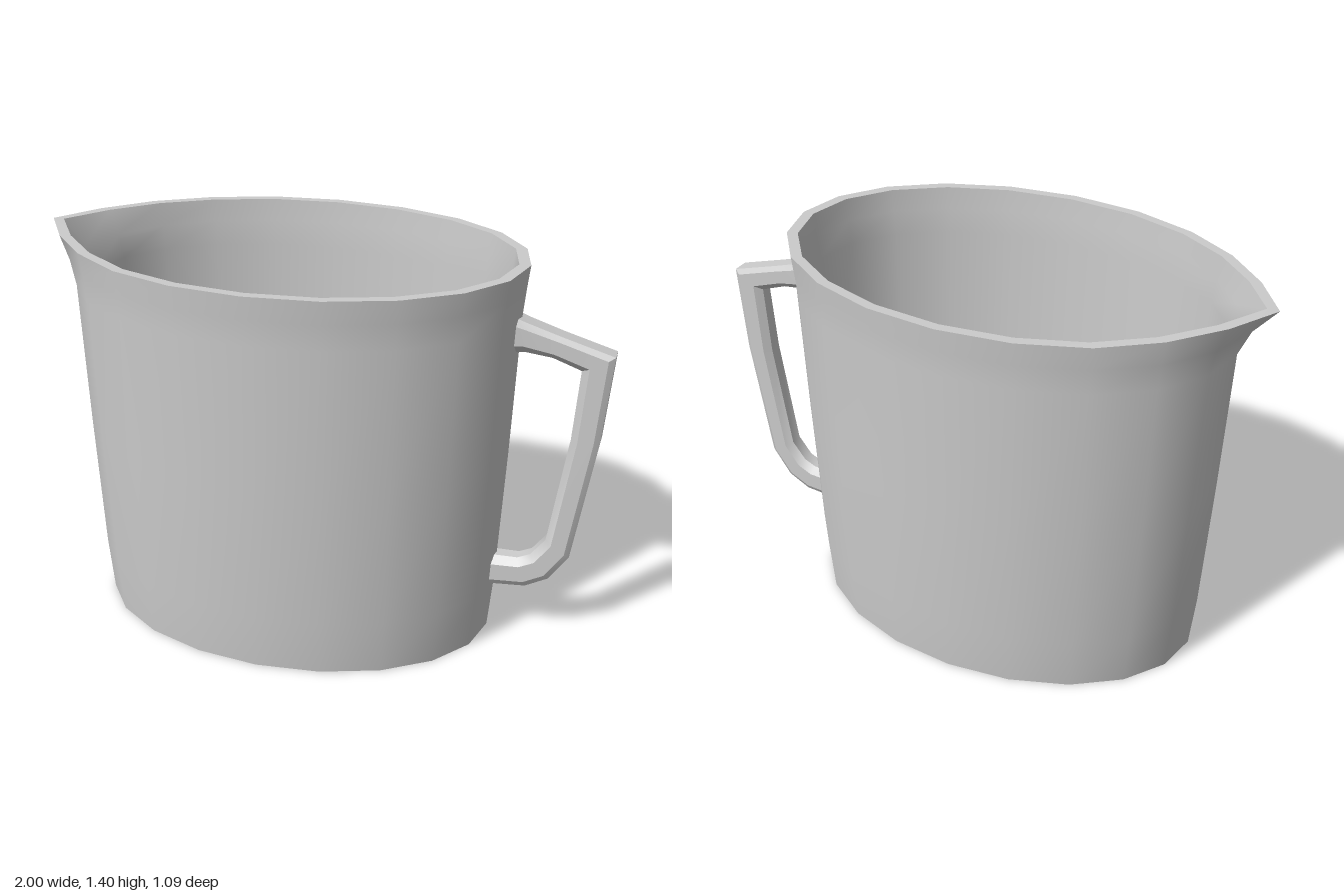
import * as THREE from 'three';
import { mergeGeometries, toCreasedNormals } from 'three/addons/utils/BufferGeometryUtils.js';

const SIDES = 20;
const CENTRE_X = -0.1;
// how strongly each side, counted from the spout tip, follows the spout
const PULL = [1, 0.32, 0.03];

// Oval ring; spout pushes the -x end outward, lift raises it
function ring([y, rx, rz, spout = 0, lift = 0]) {
  const points = [];
  for (let i = 0; i < SIDES; i++) {
    const a = (i / SIDES) * Math.PI * 2;
    const d = Math.abs(i - SIDES / 2);
    const rise = lift * Math.max(0, 1 - d / 3);
    points.push([CENTRE_X + rx * Math.cos(a) - spout * (PULL[d] ?? 0), y + rise, rz * Math.sin(a)]);
  }
  return points;
}

// Joins equal closed loops into a surface, optionally capping both ends
function loft(loops, capped = false) {
  const n = loops[0].length;
  const index = [];
  for (let j = 0; j < loops.length - 1; j++) {
    for (let i = 0; i < n; i++) {
      const k = (i + 1) % n;
      const a = j * n + i, b = j * n + k, c = a + n, d = b + n;
      index.push(a, c, b, b, c, d);
    }
  }
  if (capped) {
    const last = (loops.length - 1) * n;
    for (let i = 1; i < n - 1; i++) {
      index.push(0, i, i + 1, last, last + i + 1, last + i);
    }
  }
  const geometry = new THREE.BufferGeometry();
  geometry.setAttribute('position', new THREE.Float32BufferAttribute(loops.flat(2), 3));
  geometry.setIndex(index);
  geometry.computeVertexNormals();
  return geometry;
}

function createBody() {
  // height, x radius, z radius, spout pull, spout lift
  const outer = [
    [0, 0.727, 0.49],
    [0.2, 0.744, 0.503],
    [0.7, 0.766, 0.518],
    [1.22, 0.784, 0.531],
    [1.31, 0.792, 0.538, 0.03],
    [1.39, 0.801, 0.545, 0.099, 0.01],
  ];
  const inner = [
    [1.39, 0.762, 0.511, 0.098, 0.01],
    [1.31, 0.753, 0.506, 0.03],
    [1.22, 0.746, 0.5],
    [0.7, 0.728, 0.488],
    [0.2, 0.706, 0.474],
    [0.05, 0.69, 0.46],
  ];
  // separate strips keep the rim, floor and base edges sharp
  const strips = [
    [[0, 0, 0], outer[0]],
    outer,
    [outer.at(-1), inner[0]],
    inner,
    [inner.at(-1), [0.05, 0, 0]],
  ];
  return mergeGeometries(strips.map((rows) => loft(rows.map(ring))));
}

function createHandle() {
  // outer x, y, inner x, y, half width
  const stations = [
    [0.65, 1.225, 0.65, 1.09, 0.052],
    [0.70, 1.205, 0.70, 1.098, 0.045],
    [0.82, 1.167, 0.795, 1.087, 0.042],
    [1.0, 1.115, 0.893, 1.052, 0.042],
    [0.975, 0.8, 0.877, 0.8, 0.045],
    [0.907, 0.35, 0.82, 0.4, 0.045],
    [0.84, 0.25, 0.77, 0.333, 0.045],
    [0.76, 0.206, 0.725, 0.312, 0.045],
    [0.625, 0.195, 0.625, 0.31, 0.047],
  ];
  // chamfered section: fraction from outer to inner edge, fraction of half width
  const section = [
    [0, -0.7], [0.2, -1], [0.75, -1], [1, -0.5],
    [1, 0.5], [0.75, 1], [0.2, 1], [0, 0.7],
  ];
  const loops = stations.map(([ox, oy, ix, iy, w]) =>
    section.map(([t, s]) => [ox + (ix - ox) * t, oy + (iy - oy) * t, w * s]));
  return toCreasedNormals(loft(loops, true), 0.5);
}

export function createModel() {
  const model = new THREE.Group();
  model.name = 'pitcher';
  const material = new THREE.MeshStandardMaterial({ color: 0xcccccc });

  const body = new THREE.Mesh(createBody(), material);
  body.name = 'body';
  const handle = new THREE.Mesh(createHandle(), material);
  handle.name = 'handle';

  model.add(body, handle);
  return model;
}
